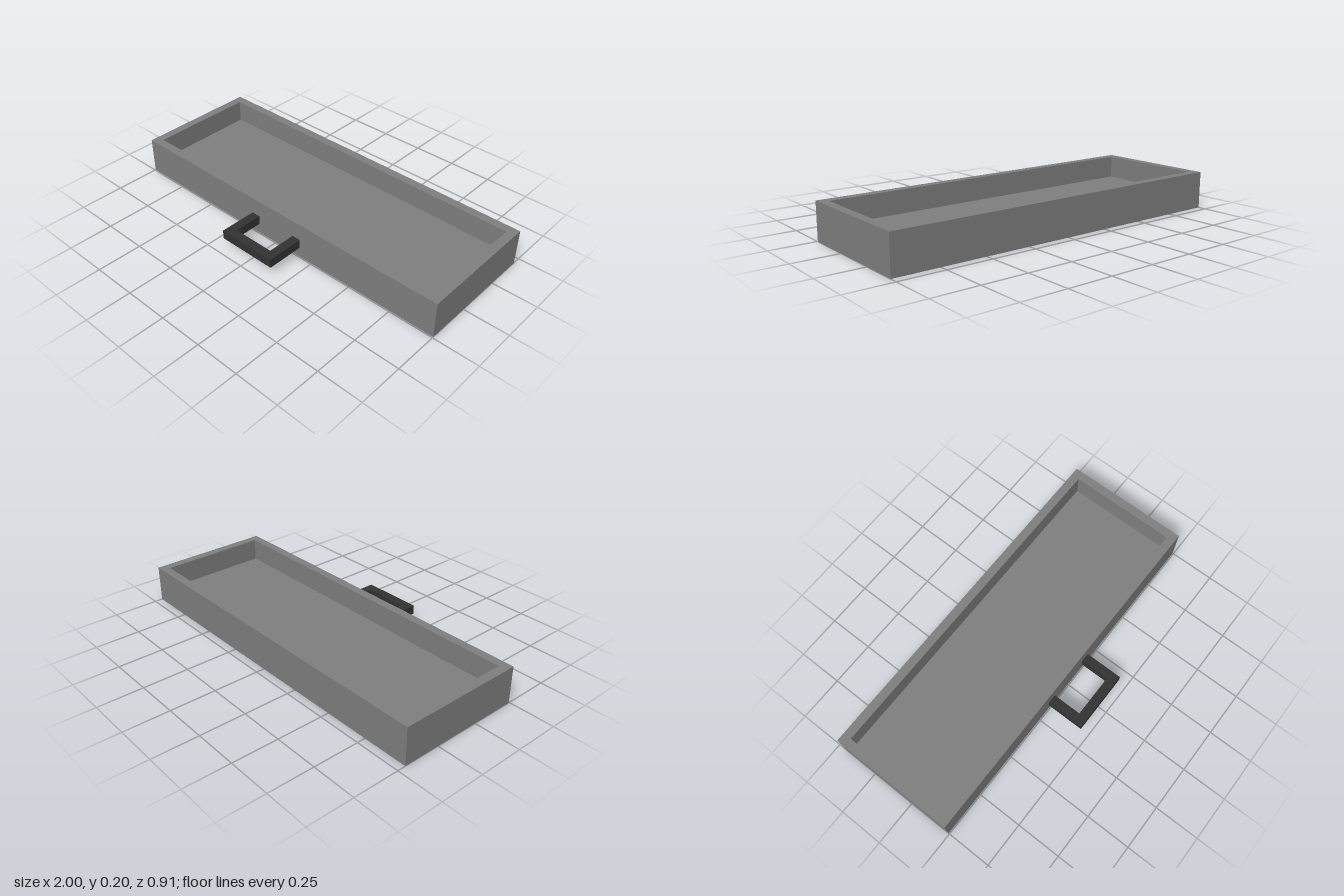
import * as THREE from 'three';

// Closed outline from [x, z] pairs
const outline = (points, Type = THREE.Shape) =>
  new Type(points.map(([x, z]) => new THREE.Vector2(x, z)));

const rect = (x, z0, z1) => [[-x, z0], [x, z0], [x, z1], [-x, z1]];

// Plan outline in x/z raised from y0 to y1
function slab(name, shape, y0, y1, material) {
  const geometry = new THREE.ExtrudeGeometry(shape, { depth: y1 - y0, bevelEnabled: false });
  geometry.rotateX(Math.PI / 2);
  geometry.translate(0, y1, 0);
  const mesh = new THREE.Mesh(geometry, material);
  mesh.name = name;
  return mesh;
}

export function createModel() {
  const group = new THREE.Group();
  group.name = 'drawer';

  const trayGrey = new THREE.MeshStandardMaterial({ color: 0x808080 });
  trayGrey.name = 'tray grey';
  const handleDark = new THREE.MeshStandardMaterial({ color: 0x333333 });
  handleDark.name = 'handle dark grey';

  const back = -0.455, front = 0.245, wall = 0.048, height = 0.205, floorTop = 0.08;
  const inner = rect(1 - wall, back + wall, front - wall);

  // Four walls as one open frame
  const frame = outline(rect(1, back, front));
  frame.holes.push(outline(inner, THREE.Path));
  group.add(slab('trayWalls', frame, 0, height, trayGrey));

  // Thick floor filling the frame
  group.add(slab('trayFloor', outline(inner), 0, floorTop, trayGrey));

  // U-shaped pull handle on the front wall
  const handle = outline([
    [-0.17, front], [-0.17, 0.455], [0.17, 0.455], [0.17, front],
    [0.12, front], [0.12, 0.405], [-0.12, 0.405], [-0.12, front],
  ]);
  group.add(slab('handle', handle, 0.06, 0.11, handleDark));

  return group;
}
